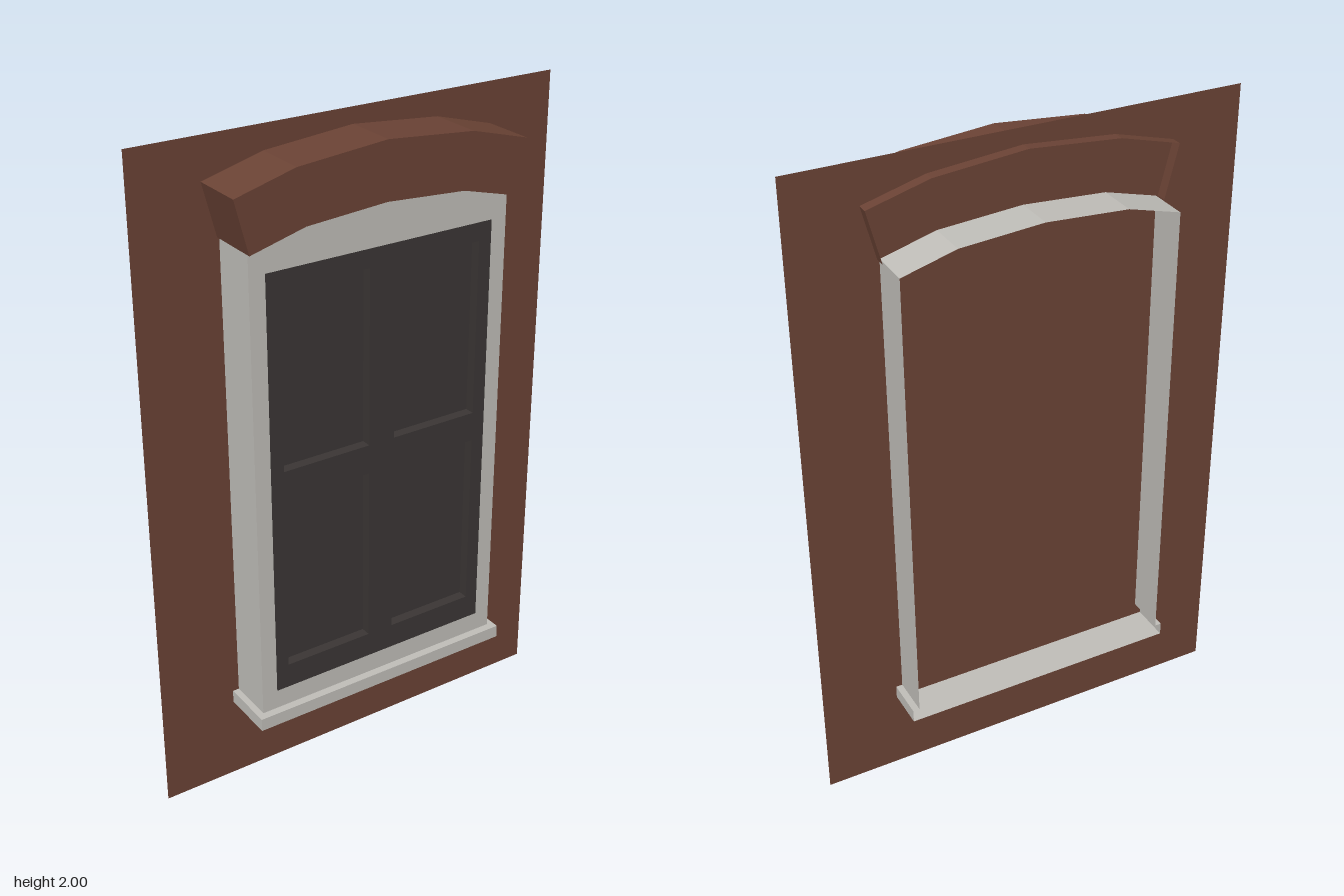
import * as THREE from 'three';

const material = (name, color) => new THREE.MeshStandardMaterial({ name, color, side: THREE.DoubleSide });

// Depths of the layers
const BACK = -0.145, ARCH_BACK = -0.055, WALL = -0.022, PANE = 0.09;
const FRAME = 0.121, ARCH = 0.141, SILL = 0.146;

const rect = (x0, y0, x1, y1) => [[x0, y0], [x1, y0], [x1, y1], [x0, y1]];
const toVectors = (points) => points.map(([x, y]) => new THREE.Vector2(x, y));

// Flat sheet facing the front, with optional holes
function sheet(points, z, holes = []) {
  const shape = new THREE.Shape(toVectors(points));
  for (const hole of holes) shape.holes.push(new THREE.Path(toVectors(hole)));
  return new THREE.ShapeGeometry(shape).translate(0, 0, z);
}

// Strip running along an outline (anticlockwise) between two depths
function band(points, z0, z1, closed = true) {
  const positions = [];
  const count = closed ? points.length : points.length - 1;
  for (let i = 0; i < count; i++) {
    const [ax, ay] = points[i];
    const [bx, by] = points[(i + 1) % points.length];
    positions.push(ax, ay, z0, bx, by, z0, bx, by, z1, ax, ay, z0, bx, by, z1, ax, ay, z1);
  }
  const geometry = new THREE.BufferGeometry();
  geometry.setAttribute('position', new THREE.Float32BufferAttribute(positions, 3));
  geometry.computeVertexNormals();
  return geometry;
}

export function createModel() {
  const model = new THREE.Group();
  model.name = 'windowWall';
  const brick = material('brick', 0x6b4335);
  const stone = material('paleStone', 0xc0beb9);
  const dark = material('darkPaint', 0x3b3635);

  const add = (parent, name, geometry, mat) => {
    const mesh = new THREE.Mesh(geometry, mat);
    mesh.name = name;
    parent.add(mesh);
  };
  const group = (name) => {
    const g = new THREE.Group();
    g.name = name;
    model.add(g);
    return g;
  };

  // Wall sheet
  add(model, 'wall', sheet(rect(-0.667, 0, 0.667, 2), WALL), brick);

  // Shared curve under the arch, from right to left
  const curve = [[0.412, 1.725], [0.25, 1.769], [0, 1.786], [-0.25, 1.769], [-0.412, 1.725]];
  const opening = rect(-0.363, 0.36, 0.363, 1.66);

  // Frame: pierced front and an open-backed surround
  const frame = group('frame');
  add(frame, 'frameFront', sheet([[-0.412, 0.3], [0.412, 0.3], ...curve], FRAME, [opening]), stone);
  add(frame, 'frameSurround', band([[0.412, 0.3], ...curve, [-0.412, 0.3]], BACK, FRAME, false), stone);

  // Sill: open at the back and between the jambs
  const sill = group('sill');
  add(sill, 'sillFront', sheet(rect(-0.432, 0.26, 0.432, 0.3), SILL), stone);
  add(sill, 'sillSides', band([[-0.432, 0.3], [-0.432, 0.26], [0.432, 0.26], [0.432, 0.3]], BACK, SILL, false), stone);
  add(sill, 'sillLedge', band([[0.432, 0.3], [-0.432, 0.3]], FRAME, SILL, false), stone);
  for (const [x0, x1] of [[0.432, 0.412], [-0.412, -0.432]]) {
    add(sill, 'sillEnd', band([[x0, 0.3], [x1, 0.3]], BACK, FRAME, false), stone);
  }

  // Brick arch: hollow, open at the back
  const arch = group('arch');
  const under = [[-0.418, 1.725], ...curve.slice(1, 4).reverse(), [0.418, 1.725]];
  const over = [[0.458, 1.88], [0.275, 1.929], [0, 1.953], [-0.275, 1.929], [-0.458, 1.88]];
  add(arch, 'archFront', sheet([...under, ...over], ARCH), brick);
  add(arch, 'archOuter', band([under[4], ...over, under[0]], ARCH_BACK, ARCH, false), brick);
  add(arch, 'archUnderside', band(under, FRAME, ARCH, false), brick);

  // Sash with four recessed panes
  const sash = group('sash');
  const panes = [];
  for (const [y0, y1] of [[0.437, 0.985], [1.075, 1.605]]) {
    for (const [x0, x1] of [[-0.322, -0.042], [0.042, 0.322]]) panes.push(rect(x0, y0, x1, y1));
  }
  add(sash, 'sashBars', sheet(opening, FRAME, panes), dark);
  for (const pane of panes) {
    add(sash, 'pane', sheet(pane, PANE), dark);
    add(sash, 'paneReveal', band([...pane].reverse(), PANE, FRAME), dark);
  }
  return model;
}
